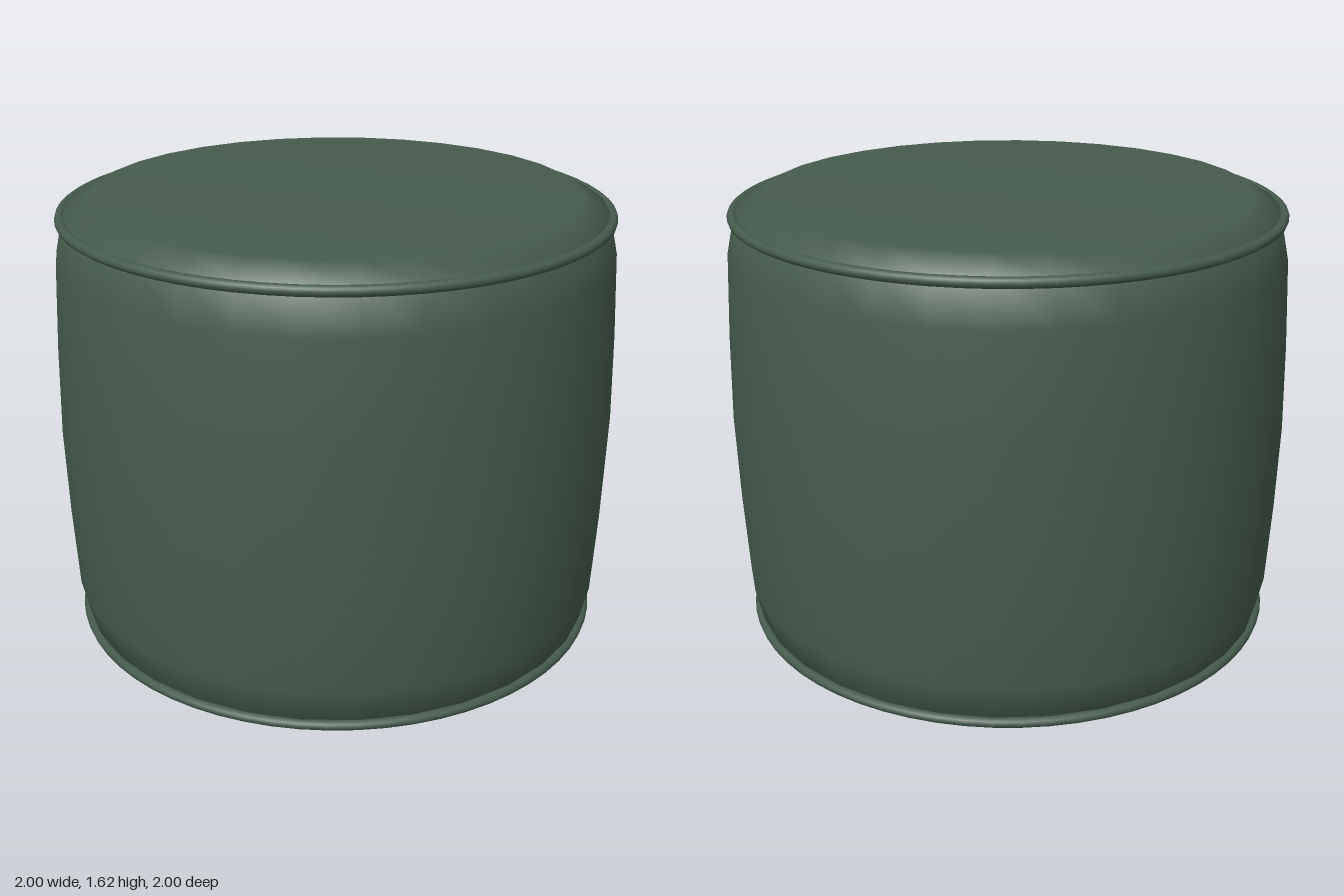
import * as THREE from 'three';

export function createModel() {
  const group = new THREE.Group();
  group.name = 'pouf';
  const fabric = new THREE.MeshStandardMaterial({ color: 0x455c4e });
  fabric.name = 'green fabric';
  const height = 1.615;
  const seamY = 0.063;

  // Cushion: lower half of the bulging profile, mirrored for the upper half
  const lower = [[0, 0], [0.85, 0], [0.942, 0.05], [0.975, 0.2], [0.99, 0.5]];
  const upper = lower.map(([r, y]) => [r, height - y]).reverse();
  const profile = [...lower, [0.998, height / 2], ...upper]
    .map(([r, y]) => new THREE.Vector2(r, y));
  const cushion = new THREE.Mesh(new THREE.LatheGeometry(profile, 32), fabric);
  cushion.name = 'cushion';
  group.add(cushion);

  // Piped seams around the bottom and top edges
  const pipingGeometry = new THREE.TorusGeometry(0.95, 0.018, 10, 64).rotateX(Math.PI / 2);
  for (const [name, y] of [['bottomPiping', seamY], ['topPiping', height - seamY]]) {
    const piping = new THREE.Mesh(pipingGeometry, fabric);
    piping.name = name;
    piping.position.y = y;
    group.add(piping);
  }
  return group;
}
